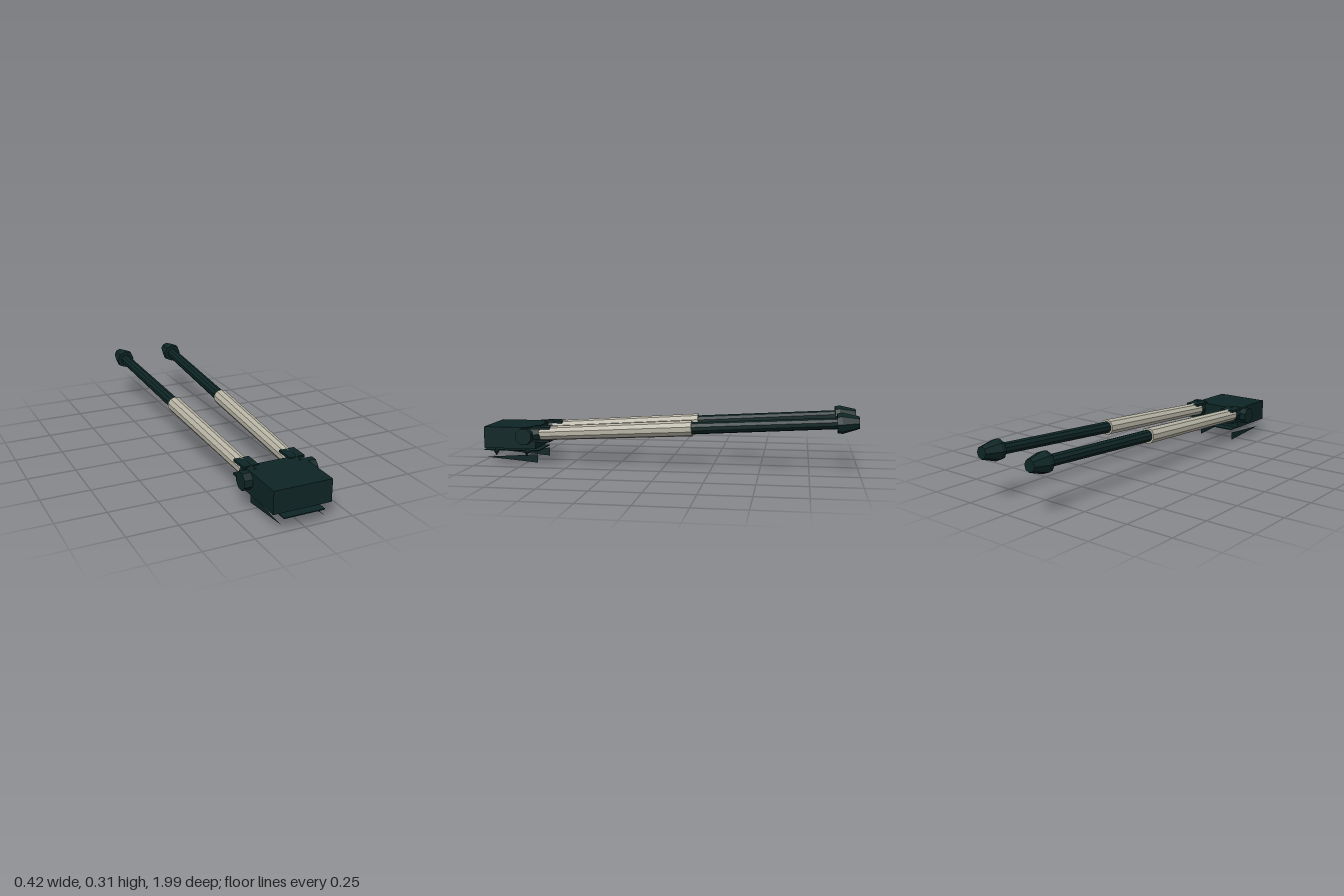
import * as THREE from 'three';

const dark = new THREE.MeshStandardMaterial({ color: 0x0e2525, flatShading: true, side: THREE.DoubleSide });
dark.name = 'dark teal';
const pale = new THREE.MeshStandardMaterial({ color: 0xb8b5a6, flatShading: true, side: THREE.DoubleSide });
pale.name = 'pale grey';

function add(parent, name, geometry, material, x = 0, y = 0, z = 0) {
  const mesh = new THREE.Mesh(geometry, material);
  mesh.name = name;
  mesh.position.set(x, y, z);
  parent.add(mesh);
  return mesh;
}

// Centre line of an arm at depth z: it rises and spreads towards the back
const axisPoint = (side, z) => new THREE.Vector3(
  side * (0.138 - 0.022 * (z + 0.15)), 0.21 - 0.059 * (z + 0.15), z);

// Round section along the arm from zFront to zBack
function section(parent, name, side, zFront, zBack, rFront, rBack, sides, material) {
  const a = axisPoint(side, zFront), b = axisPoint(side, zBack);
  const dir = b.clone().sub(a);
  const mesh = add(parent, name, new THREE.CylinderGeometry(rBack, rFront, dir.length(), sides), material);
  mesh.position.copy(a).add(b).multiplyScalar(0.5);
  mesh.quaternion.setFromUnitVectors(new THREE.Vector3(0, 1, 0), dir.normalize());
}

export function createModel() {
  const model = new THREE.Group();
  model.name = 'twinArmUnit';

  // Main block
  add(model, 'body', new THREE.BoxGeometry(0.3, 0.115, 0.285), dark, 0, 0.138, 0.832);

  // Thin tray hung below the block
  add(model, 'tray', new THREE.BoxGeometry(0.21, 0.005, 0.305), dark, 0, 0.062, 0.84);

  // Small diamond studs along the tray edge
  for (const z of [0.92, 0.75]) {
    add(model, 'stud', new THREE.OctahedronGeometry(1), dark, 0.115, 0.059, z).scale.set(0.015, 0.024, 0.016);
  }

  for (const side of [-1, 1]) {
    const arm = new THREE.Group();
    arm.name = side > 0 ? 'leftArm' : 'rightArm';
    model.add(arm);

    // Sleeve, sliding rod and flared tip
    section(arm, 'sleeve', side, 0.69, -0.15, 0.037, 0.042, 10, pale);
    section(arm, 'rod', side, -0.1, -0.92, 0.032, 0.029, 10, dark);
    section(arm, 'tipFlare', side, -0.885, -0.91, 0.05, 0.054, 8, dark);
    section(arm, 'tip', side, -0.91, -0.994, 0.054, 0.031, 8, dark);

    // Clamp holding the sleeve against the block
    section(arm, 'socket', side, 0.74, 0.665, 0.042, 0.042, 8, dark);
    for (const y of [0.195, 0.126]) {
      add(arm, 'clampPlate', new THREE.BoxGeometry(0.08, 0.012, 0.1), dark, side * 0.122, y, 0.66);
    }

    // Pivot drum on the outer face
    const pivot = add(arm, 'pivot', new THREE.CylinderGeometry(0.046, 0.046, 0.045, 8), dark,
      side * 0.17, 0.151, 0.743);
    pivot.rotation.set(Math.PI / 8, 0, Math.PI / 2);

    // Upright wedge fin below the tray
    const fin = new THREE.Shape([
      new THREE.Vector2(-0.98, 0.025), new THREE.Vector2(-0.69, 0), new THREE.Vector2(-0.69, 0.045)]);
    add(model, 'fin', new THREE.ShapeGeometry(fin), dark, side * 0.11, 0, 0).rotation.y = Math.PI / 2;
  }
  return model;
}
